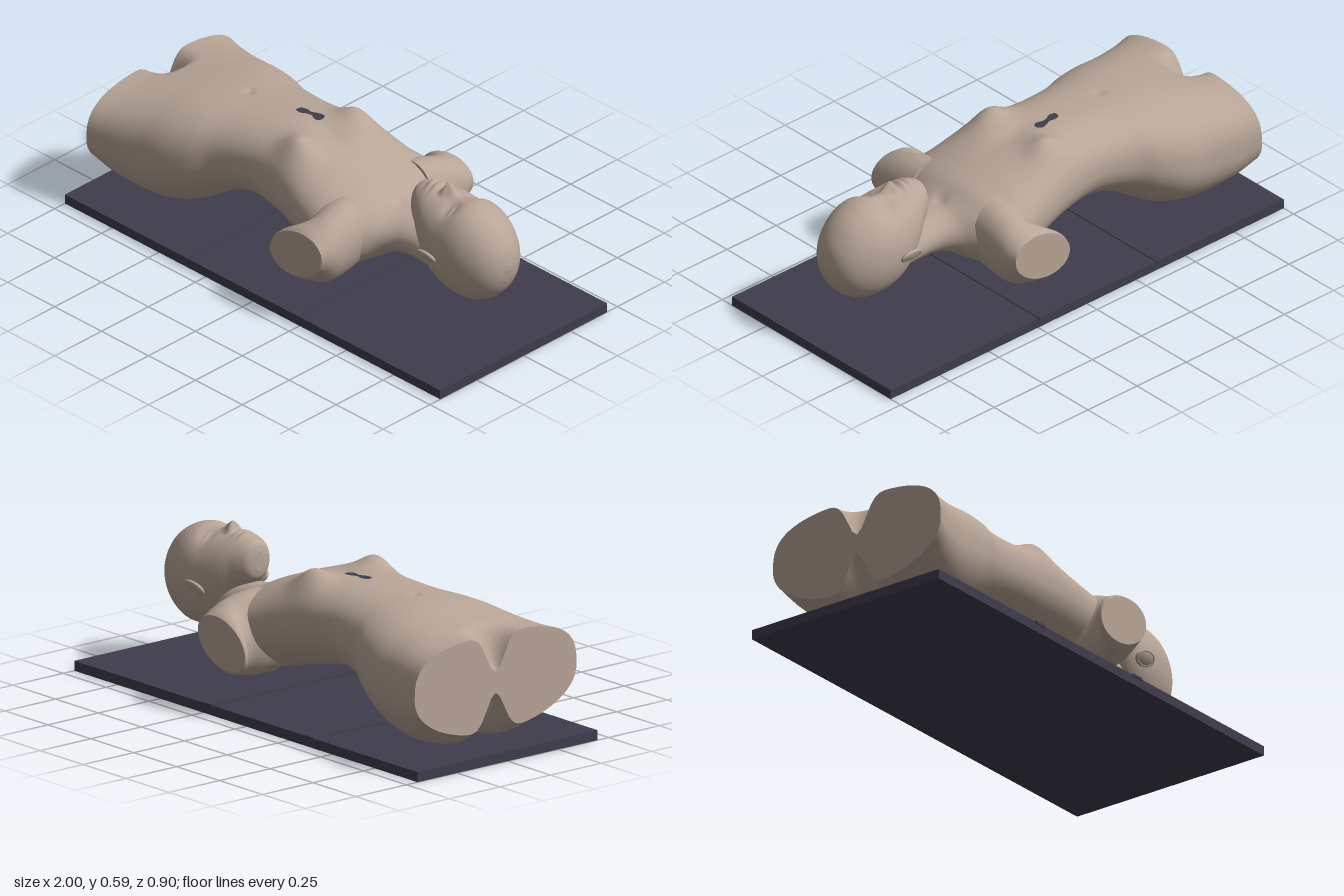
import * as THREE from 'three';

const skin = new THREE.MeshStandardMaterial({ color: 0xb8a597 });
skin.name = 'skin';
const slate = new THREE.MeshStandardMaterial({ color: 0x3f3d4d });
slate.name = 'slate';

const bell = (d, s) => Math.exp(-(d * d) / (s * s));

// Smooth interpolation of key rows [position, ...values]
function sample(keys, p) {
  let i = 0;
  while (i < keys.length - 2 && p > keys[i + 1][0]) i++;
  const a = keys[i], b = keys[i + 1];
  const before = keys[Math.max(i - 1, 0)], after = keys[Math.min(i + 2, keys.length - 1)];
  const h = b[0] - a[0], t = THREE.MathUtils.clamp((p - a[0]) / h, 0, 1);
  return a.slice(1).map((va, k) => {
    const vb = b[k + 1];
    const ma = (vb - before[k + 1]) / (b[0] - before[0]) * h;
    const mb = (after[k + 1] - va) / (after[0] - a[0]) * h;
    return va * (1 + 2 * t) * (1 - t) ** 2 + ma * t * (1 - t) ** 2 + vb * t * t * (3 - 2 * t) + mb * t * t * (t - 1);
  });
}

// Skin through rings of point(t, angle), with flat caps at both ends
function loft(rings, sides, point) {
  const pos = [], index = [];
  const addRing = (t) => {
    for (let j = 0; j < sides; j++) pos.push(...point(t, j / sides * Math.PI * 2));
  };
  for (let i = 0; i <= rings; i++) addRing(i / rings);
  for (let i = 0; i < rings; i++) {
    for (let j = 0; j < sides; j++) {
      const a = i * sides + j, c = i * sides + (j + 1) % sides;
      index.push(a, a + sides, c, c, a + sides, c + sides);
    }
  }
  for (const end of [0, 1]) {
    const base = pos.length / 3;
    addRing(end);
    for (let j = 0; j < sides / 2; j++) {
      const a = base + j, c = a + 1;
      const b = base + (sides - j) % sides, d = base + sides - j - 1;
      if (end) index.push(a, b, c, c, b, d);
      else index.push(a, c, b, c, d, b);
    }
  }
  const geo = new THREE.BufferGeometry();
  geo.setAttribute('position', new THREE.Float32BufferAttribute(pos, 3));
  geo.setIndex(index);
  geo.computeVertexNormals();
  return geo;
}

// Point on a rounded cross-section at x; relief(x, z, isTop) pushes it up or down
function bodyPoint(keys, relief, x, angle) {
  const [top, bottom, width, nTop] = sample(keys, x);
  const c = Math.cos(angle), s = Math.sin(angle);
  const mid = (top + bottom) / 2, half = (top - bottom) / 2;
  const n = s > 0 ? nTop : 2.05;
  const rise = Math.max(0, 1 - Math.abs(c) ** n) ** (1 / n);
  const z = width * c;
  const y = mid + Math.sign(s) * half * rise + relief(x, z, s > 0) * Math.min(1, Math.abs(s) * 3);
  return [x, y, z];
}

// Trunk and neck: x, top, bottom, half width, squareness of the top
const trunkKeys = [
  [-0.93, 0.485, 0.1, 0.4, 3], [-0.85, 0.49, 0.05, 0.383, 3], [-0.72, 0.51, 0.022, 0.36, 2.8],
  [-0.6, 0.53, 0.045, 0.345, 2.6], [-0.5, 0.538, 0.105, 0.315, 2.5], [-0.4, 0.54, 0.165, 0.27, 2.5],
  [-0.25, 0.547, 0.205, 0.245, 2.5], [-0.1, 0.55, 0.19, 0.258, 2.5], [0.03, 0.535, 0.163, 0.283, 2.4],
  [0.12, 0.508, 0.143, 0.3, 2.3], [0.2, 0.478, 0.138, 0.315, 2.2], [0.27, 0.45, 0.152, 0.31, 2.1],
  [0.32, 0.418, 0.178, 0.24, 2.1], [0.37, 0.394, 0.208, 0.155, 2], [0.44, 0.386, 0.222, 0.108, 2],
  [0.6, 0.37, 0.222, 0.1, 2],
];
function trunkRelief(x, z, isTop) {
  const split = 1 - THREE.MathUtils.smoothstep(x, -0.93, -0.8);
  const side = Math.abs(z);
  if (!isTop) {
    return (0.07 * bell(x + 0.75, 0.17) + 0.13 * split) * bell(z, 0.06)
      + 0.015 * bell(x - 0.1, 0.14) * bell(z, 0.05)
      - 0.015 * bell(x - 0.17, 0.1) * bell(side - 0.18, 0.07);
  }
  return -0.15 * split * bell(z, 0.06)
    + 0.048 * bell(x + 0.045, 0.075) * bell(side - 0.16, 0.065)
    - 0.012 * bell(x + 0.46, 0.02) * bell(z, 0.014)
    - 0.012 * bell(x + 0.03, 0.1) * bell(z, 0.05)
    - 0.012 * bell(x - 0.34, 0.025) * bell(z, 0.03);
}

// Head, lying face up with the crown towards +x
const headKeys = [
  [0.445, 0.505, 0.43, 0.02, 2.1], [0.452, 0.532, 0.405, 0.05, 2.1], [0.475, 0.548, 0.378, 0.074, 2.1],
  [0.51, 0.555, 0.345, 0.097, 2.1], [0.55, 0.556, 0.285, 0.122, 2.1], [0.6, 0.552, 0.22, 0.142, 2.1],
  [0.65, 0.549, 0.185, 0.152, 2.1], [0.7, 0.558, 0.168, 0.156, 2.1], [0.74, 0.562, 0.165, 0.155, 2.1],
  [0.79, 0.55, 0.17, 0.147, 2.1], [0.85, 0.514, 0.2, 0.122, 2.1], [0.89, 0.468, 0.243, 0.092, 2],
  [0.915, 0.418, 0.295, 0.052, 2], [0.925, 0.365, 0.345, 0.01, 2],
];
function faceRelief(x, z, isTop) {
  if (!isTop) return 0;
  const eye = Math.abs(z) - 0.064;
  const nose = 0.042 * bell(x - 0.6, x < 0.6 ? 0.016 : 0.042) * bell(z, 0.021);
  const nostrils = 0.013 * bell(x - 0.594, 0.014) * bell(Math.abs(z) - 0.023, 0.012);
  const lips = 0.016 * (bell(x - 0.52, 0.012) + bell(x - 0.549, 0.011)) * bell(z, 0.038);
  const sockets = -0.02 * bell(x - 0.675, 0.026) * bell(eye, 0.032);
  const lids = 0.014 * bell(x - 0.674, 0.013) * bell(eye, 0.022);
  const slit = -0.006 * bell(x - 0.668, 0.005) * bell(eye, 0.018);
  return nose + nostrils + lips + sockets + lids + slit;
}

// Shoulder stump: distance out, centre x, half length, top, bottom
const stumpKeys = [
  [0.18, 0.21, 0.13, 0.445, 0.13], [0.25, 0.225, 0.118, 0.435, 0.125], [0.32, 0.235, 0.108, 0.415, 0.135],
  [0.36, 0.215, 0.125, 0.398, 0.15], [0.39, 0.192, 0.14, 0.383, 0.165], [0.405, 0.19, 0.138, 0.372, 0.178],
];
function stumpGeometry(side) {
  return loft(24, 48, (t, angle) => {
    const d = 0.18 + 0.225 * t;
    const [cx, rx, top, bottom] = sample(stumpKeys, d);
    const dx = -side * Math.cos(angle) * rx;
    const y = (top + bottom) / 2 + Math.sin(angle) * (top - bottom) / 2 + dx * 0.2;
    return [cx + dx, y, side * d];
  });
}

export function createModel() {
  const model = new THREE.Group();
  const add = (name, geo, material, parent = model) => {
    const mesh = new THREE.Mesh(geo, material);
    mesh.name = name;
    parent.add(mesh);
    return mesh;
  };

  // Board with two raised hinge strips
  add('board', new THREE.BoxGeometry(2, 0.039, 0.89).translate(0, 0.0195, 0), slate);
  for (const x of [-0.375, 0.22]) {
    add('hingeStrip', new THREE.BoxGeometry(0.055, 0.01, 0.898).translate(x, 0.038, 0), slate);
  }

  // Body
  add('trunk', loft(150, 112, (t, a) => bodyPoint(trunkKeys, trunkRelief, -0.93 + 1.53 * t, a)), skin);
  add('head', loft(120, 128, (t, a) => {
    const eased = 0.5 * t + 0.25 * (1 - Math.cos(Math.PI * t));
    return bodyPoint(headKeys, faceRelief, 0.445 + 0.48 * eased, a);
  }), skin);

  for (const side of [1, -1]) {
    add(side > 0 ? 'leftShoulder' : 'rightShoulder', stumpGeometry(side), skin);

    // Ear: a flat shell with a rim
    const ear = new THREE.Group();
    ear.name = side > 0 ? 'leftEar' : 'rightEar';
    add('earShell', new THREE.SphereGeometry(1, 24, 16).scale(0.046, 0.03, 0.01), skin, ear);
    add('earRim', new THREE.TorusGeometry(0.038, 0.007, 10, 32).scale(1.15, 0.75, 1), skin, ear);
    ear.position.set(0.637, 0.352, side * 0.16);
    ear.rotation.set(side * 0.5, 0, 0.15);
    model.add(ear);
  }

  // Dark chest marker laid on the skin
  const outline = [[-0.228, 0.012], [-0.2, 0.008], [-0.178, 0.02], [-0.155, 0.024], [-0.125, 0.015],
    [-0.108, 0.035], [-0.12, 0.058], [-0.15, 0.052], [-0.172, 0.042], [-0.2, 0.045], [-0.224, 0.036]];
  const curve = new THREE.SplineCurve([...outline, outline[0]].map(([x, y]) => new THREE.Vector2(x, y)));
  const marker = new THREE.ShapeGeometry(new THREE.Shape(curve.getPoints(44))).rotateX(-Math.PI / 2);
  const p = marker.attributes.position;
  for (let i = 0; i < p.count; i++) {
    const x = p.getX(i), width = sample(trunkKeys, x)[2];
    p.setY(i, bodyPoint(trunkKeys, trunkRelief, x, Math.acos(p.getZ(i) / width))[1] + 0.004);
  }
  marker.computeVertexNormals();
  add('chestMarker', marker, slate);

  return model;
}
